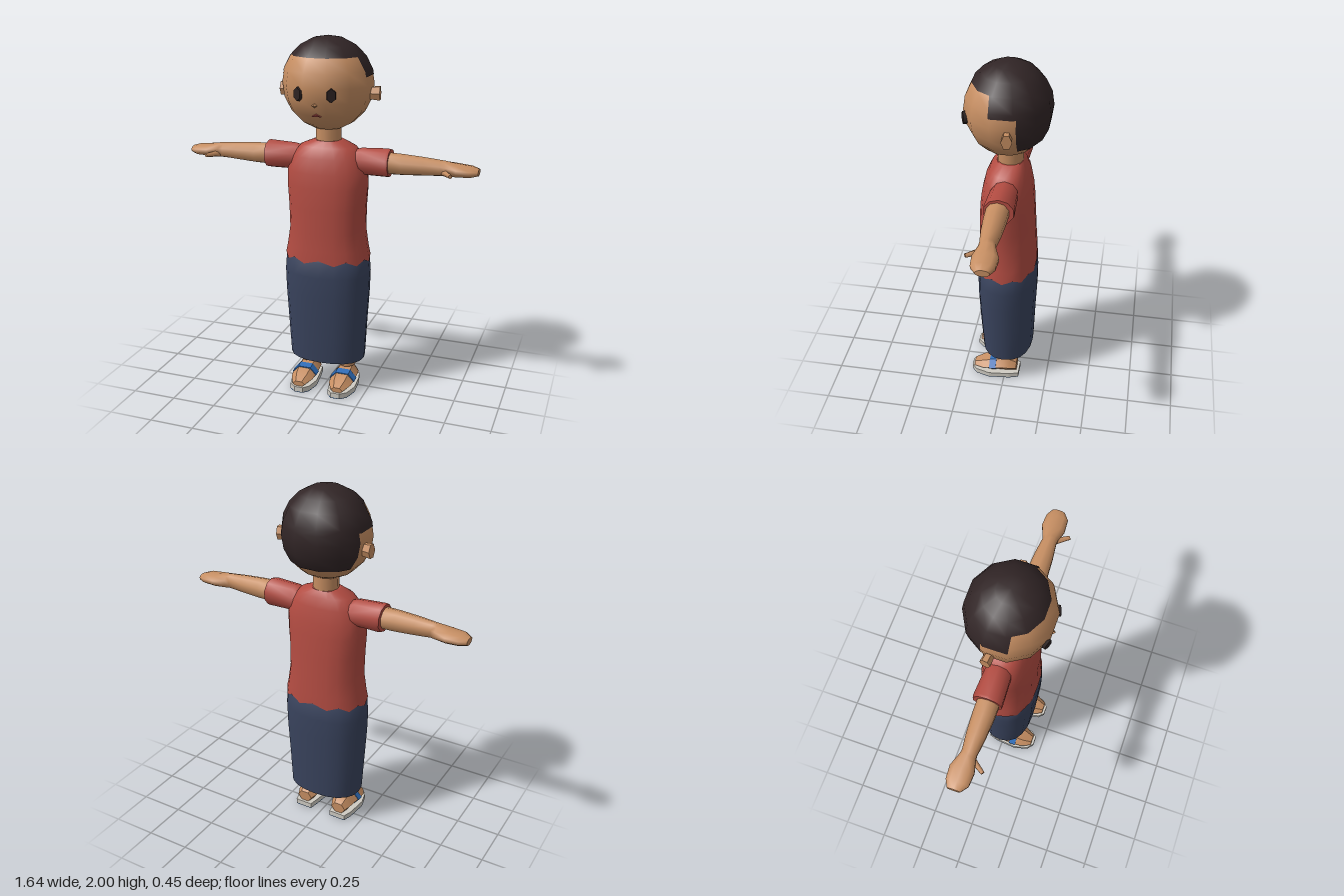
import * as THREE from 'three';
import { toCreasedNormals } from 'three/addons/utils/BufferGeometryUtils.js';

const paint = (name, color, side = THREE.FrontSide) => {
  const m = new THREE.MeshStandardMaterial({ color, side });
  m.name = name;
  return m;
};

// Skin of elliptical rings [y, cx, cz, rx, rz], stacked upwards along y; power > 2 squares the section
function loft(rings, n, { power = 2, caps = true, hem = 0 } = {}) {
  const pos = [], idx = [];
  const curve = v => Math.sign(v) * Math.abs(v) ** (2 / power);
  const addRing = ([y, cx, cz, rx, rz], wave = 0) => {
    const start = pos.length / 3;
    for (let j = 0; j < n; j++) {
      const t = (j / n) * Math.PI * 2;
      pos.push(cx + rx * curve(Math.cos(t)), y + (j % 2) * wave, cz + rz * curve(Math.sin(t)));
    }
    return start;
  };
  rings.forEach((r, i) => {
    const s = addRing(r, i === 0 ? hem : 0);
    if (i === 0) return;
    for (let j = 0; j < n; j++) {
      const k = (j + 1) % n, a = s - n + j, b = s - n + k;
      idx.push(a, s + j, b, b, s + j, s + k);
    }
  });
  if (caps) [rings[0], rings[rings.length - 1]].forEach((r, top) => {
    const s = addRing(r);
    for (let j = 1; j < n - 1; j++) idx.push(s, s + j + (top ? 1 : 0), s + j + (top ? 0 : 1));
  });
  const g = new THREE.BufferGeometry();
  g.setAttribute('position', new THREE.Float32BufferAttribute(pos, 3));
  g.setIndex(idx);
  g.computeVertexNormals();
  return g;
}

// Copy a geometry to the other side of x = 0, keeping its faces outward
function mirrored(geo) {
  const g = geo.clone().scale(-1, 1, 1);
  const order = g.index ? Array.from(g.index.array) : Array.from({ length: g.attributes.position.count }, (_, i) => i);
  for (let i = 0; i < order.length; i += 3) [order[i + 1], order[i + 2]] = [order[i + 2], order[i + 1]];
  g.setIndex(order);
  return g;
}

// Cut polygons with a plane, keeping the part where sign * (axis - limit) > 0
function clip(polys, axis, limit, sign) {
  return polys.map(poly => {
    const out = [];
    poly.forEach((p, i) => {
      const q = poly[(i + 1) % poly.length];
      const dp = sign * (p[axis] - limit), dq = sign * (q[axis] - limit);
      if (dp >= 0) out.push(p);
      if (dp * dq < 0) out.push(p.clone().lerp(q, dp / (dp - dq)));
    });
    return out;
  }).filter(p => p.length > 2);
}

const HEAD_Y = 1.75, RX = 0.249, RY = 0.25, RZ = 0.232;
const headShape = () => new THREE.SphereGeometry(1, 12, 10).rotateY(Math.PI / 12).scale(RX, RY, RZ);

// Hair: the head surface cut into a crown, a side band and a back panel
function hairShape() {
  const p = headShape().toNonIndexed().attributes.position, tris = [];
  for (let i = 0; i < p.count; i += 3)
    tris.push([0, 1, 2].map(k => new THREE.Vector3().fromBufferAttribute(p, i + k)));
  const band = (low, high, front) => clip(clip(clip(tris, 'y', low - HEAD_Y, 1), 'y', high - HEAD_Y, -1), 'z', front, -1);
  const polys = [...band(1.9, 2.1, 1), ...band(1.8, 1.9, 0.065), ...band(1.6, 1.8, -0.072)];
  const pos = [], nor = [];
  for (const poly of polys)
    for (let i = 1; i < poly.length - 1; i++)
      for (const v of [poly[0], poly[i], poly[i + 1]]) {
        pos.push(v.x, v.y, v.z);
        nor.push(...new THREE.Vector3(v.x / RX ** 2, v.y / RY ** 2, v.z / RZ ** 2).normalize().toArray());
      }
  const g = new THREE.BufferGeometry();
  g.setAttribute('position', new THREE.Float32BufferAttribute(pos, 3));
  g.setAttribute('normal', new THREE.Float32BufferAttribute(nor, 3));
  return g;
}

// Sandal sole outline, x across and z forward
function soleShape(depth, top) {
  const outline = [[-0.05, -0.085], [0.05, -0.085], [0.066, -0.03], [0.077, 0.09], [0.055, 0.17],
    [0.02, 0.2], [-0.03, 0.2], [-0.058, 0.17], [-0.075, 0.09], [-0.06, -0.03]];
  const shape = new THREE.Shape(outline.map(([x, z]) => new THREE.Vector2(x, z)));
  return new THREE.ExtrudeGeometry(shape, { depth, bevelEnabled: false })
    .rotateX(Math.PI / 2).translate(0.115, top, 0);
}

export function createModel() {
  const model = new THREE.Group();
  model.name = 'figure';
  const skin = paint('skin', 0xc68e62), dark = paint('darkHair', 0x312526);
  const red = paint('shirtRed', 0xb34c42), navy = paint('skirtNavy', 0x39435d, THREE.DoubleSide);
  const pale = paint('solePale', 0xcfcbc2), blue = paint('strapBlue', 0x2f6db8);
  const lip = paint('lipRed', 0xb8504c), black = paint('eyeDark', 0x2c2222);

  const add = (name, geo, mat) => {
    const mesh = new THREE.Mesh(geo, mat);
    mesh.name = name;
    model.add(mesh);
  };
  const addPair = (name, geo, mat) => {
    add(name + 'Left', geo, mat);
    add(name + 'Right', mirrored(geo), mat);
  };

  // Head, hair and neck
  add('head', headShape().scale(0.99, 0.99, 0.99).translate(0, HEAD_Y, 0), skin);
  add('hair', hairShape().translate(0, HEAD_Y, 0), dark);
  add('neck', new THREE.CylinderGeometry(0.07, 0.07, 0.14, 12).translate(0, 1.475, -0.01), skin);

  // Face
  addPair('eye', new THREE.CylinderGeometry(0.025, 0.028, 0.02, 6).rotateX(Math.PI / 2)
    .scale(1, 1.42, 1).rotateY(0.4).translate(0.09, 1.72, 0.21), black);
  add('nose', new THREE.OctahedronGeometry(0.016).scale(1, 0.75, 1).translate(0, 1.664, 0.211), skin);
  const mouth = new THREE.Shape([[-0.026, -0.006], [0.026, -0.006], [0, 0.01]].map(p => new THREE.Vector2(...p)));
  add('mouth', new THREE.ExtrudeGeometry(mouth, { depth: 0.008, bevelEnabled: false })
    .rotateX(0.54).translate(0, 1.61, 0.179), lip);
  addPair('ear', toCreasedNormals(new THREE.CylinderGeometry(0.026, 0.022, 0.06, 6).rotateZ(-Math.PI / 2)
    .scale(1, 1.62, 1.1).rotateY(0.12).translate(0.248, 1.705, -0.03), 0.5), skin);

  // Shirt with a ragged hem
  add('shirt', loft([
    [0.775, 0, 0, 0.24, 0.163], [0.85, 0, 0, 0.229, 0.16], [0.95, 0, 0, 0.214, 0.154],
    [1.08, 0, 0.003, 0.217, 0.15], [1.2, 0, 0.003, 0.226, 0.143], [1.28, 0, 0.002, 0.226, 0.134],
    [1.36, 0, 0, 0.2, 0.118], [1.415, 0, -0.004, 0.155, 0.096], [1.447, 0, -0.01, 0.078, 0.07],
  ], 20, { power: 2.3, hem: 0.025 }), red);

  // Long skirt, open at the bottom
  add('skirt', loft([
    [0.18, 0, -0.003, 0.216, 0.147], [0.4, 0, 0, 0.228, 0.158], [0.58, 0, 0, 0.239, 0.166],
    [0.7, 0, 0, 0.243, 0.167], [0.79, 0, 0, 0.236, 0.161], [0.83, 0, 0, 0.2, 0.13],
  ], 20, { power: 2.3, caps: false }), navy);

  // Sleeves and arms, lofted upright and then laid along x
  const alongX = rings => loft(rings.map(([x, y, z, ry, rz]) => [x, -y, z, ry, rz]), 10).rotateZ(-Math.PI / 2);
  addPair('sleeve', alongX([
    [0.13, 1.335, -0.006, 0.06, 0.065], [0.19, 1.339, -0.006, 0.074, 0.074], [0.335, 1.342, -0.006, 0.078, 0.082],
    [0.35, 1.342, -0.006, 0.075, 0.08],
  ]), red);
  addPair('arm', alongX([
    [0.3, 1.342, 0, 0.06, 0.062], [0.42, 1.341, 0, 0.057, 0.06], [0.53, 1.341, 0, 0.05, 0.053],
    [0.62, 1.34, 0, 0.043, 0.042], [0.645, 1.338, -0.002, 0.042, 0.046], [0.71, 1.334, -0.006, 0.035, 0.068],
    [0.78, 1.332, -0.006, 0.03, 0.063], [0.82, 1.33, -0.011, 0.019, 0.036],
  ]), skin);
  addPair('thumb', new THREE.CylinderGeometry(0.011, 0.018, 0.085, 6).rotateX(Math.PI / 2)
    .rotateY(0.6).translate(0.668, 1.322, 0.06), skin);

  // Legs, hidden under the skirt
  addPair('leg', new THREE.CylinderGeometry(0.075, 0.05, 0.6, 10).translate(0.115, 0.43, 0), skin);

  // Feet in sandals, lofted upright and then laid along z
  const alongZ = (rings, grow = 0) => toCreasedNormals(
    loft(rings.map(([z, y, rx, ry]) => [z, 0.115, -y, rx + grow, ry + grow]), 6).rotateX(Math.PI / 2), 0.6);
  addPair('foot', alongZ([
    [-0.07, 0.062, 0.045, 0.035], [-0.03, 0.073, 0.062, 0.05], [0, 0.076, 0.067, 0.051],
    [0.07, 0.07, 0.071, 0.044], [0.13, 0.057, 0.064, 0.034], [0.185, 0.044, 0.036, 0.018],
  ]), skin);
  addPair('strap', alongZ([[0.05, 0.071, 0.07, 0.046], [0.09, 0.066, 0.069, 0.041]], 0.005), blue);
  addPair('sole', soleShape(0.028, 0.032), pale);
  addPair('outsole', soleShape(0.004, 0.004), blue);

  return model;
}
